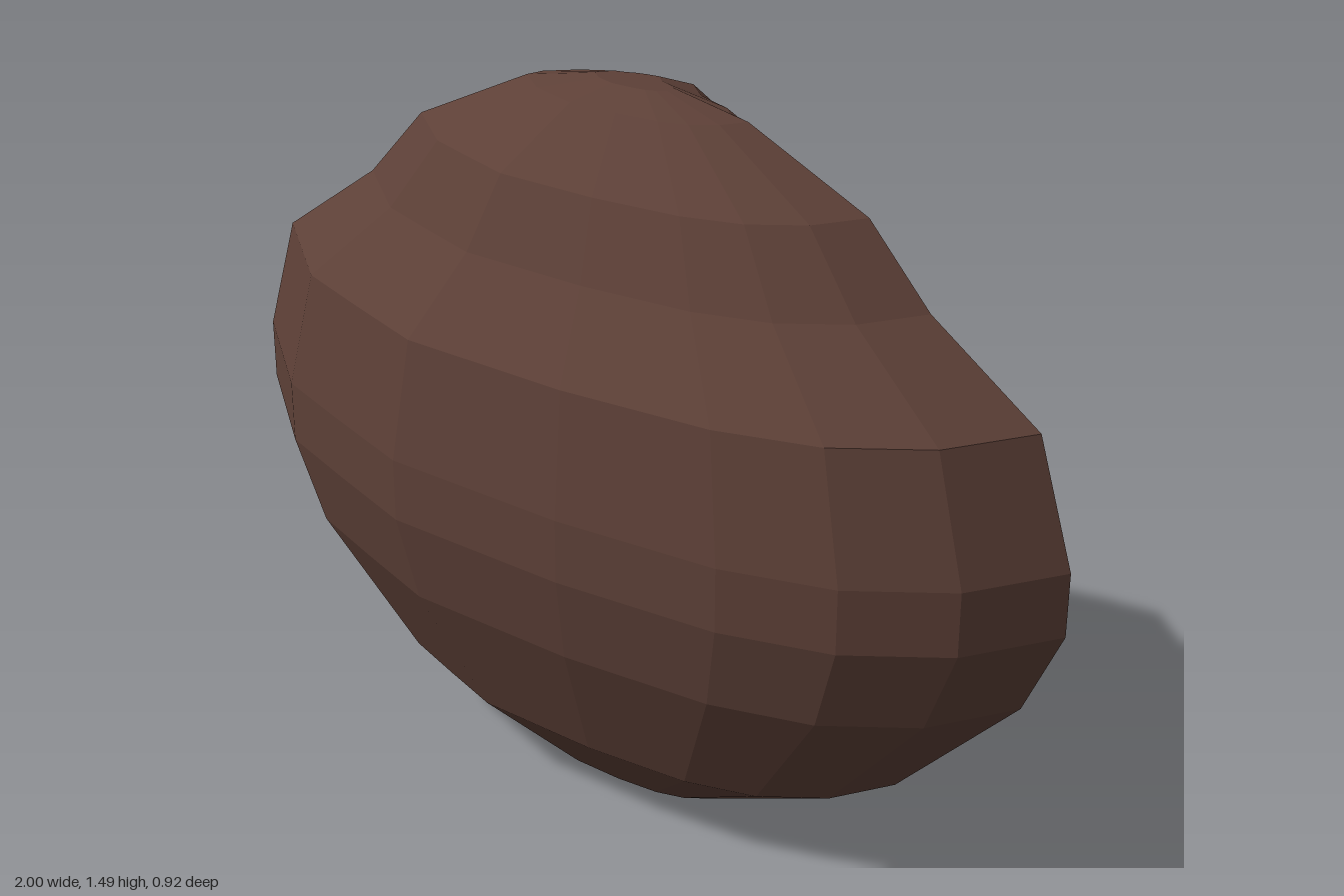
import * as THREE from 'three';

// Widest cross-section of the boulder as [x, z], running left, back, right, front
const OUTLINE = [
  [-1, 0.05], [-0.96, -0.09], [-0.76, -0.28], [-0.55, -0.32], [-0.34, -0.4],
  [-0.12, -0.44], [0.15, -0.46], [0.36, -0.26], [0.53, -0.18], [0.69, -0.11],
  [0.77, -0.02], [1, 0.08], [0.88, 0.26], [0.7, 0.38], [0.48, 0.44],
  [0.13, 0.46], [-0.29, 0.44], [-0.51, 0.36], [-0.72, 0.28],
];

// Rings from base to crown as [height, scale]; scale 0 closes the caps
const RINGS = [
  [0, 0], [0, 0.27], [0.18, 0.655], [0.455, 0.92], [0.635, 1], [0.765, 1],
  [1.015, 0.92], [1.18, 0.68], [1.33, 0.54], [1.455, 0.265], [1.485, 0.1], [1.485, 0],
];

const CENTRE_Z = 0.024; // the rings shrink towards this depth

function boulderGeometry() {
  const n = OUTLINE.length;
  const positions = [];
  const index = [];
  for (const [y, s] of RINGS) {
    for (const [x, z] of OUTLINE) positions.push(x * s, y, z * s + CENTRE_Z * (1 - s));
  }
  for (let r = 0; r < RINGS.length - 1; r++) {
    for (let i = 0; i < n; i++) {
      const j = (i + 1) % n;
      const a = r * n + i, b = r * n + j, c = a + n, d = b + n;
      if (RINGS[r][1] > 0) index.push(b, a, c);
      if (RINGS[r + 1][1] > 0) index.push(b, c, d);
      else index[index.length - 1] = c; // crown cap meets at one point
    }
  }
  const geometry = new THREE.BufferGeometry();
  geometry.setAttribute('position', new THREE.Float32BufferAttribute(positions, 3));
  geometry.setIndex(index);
  const faceted = geometry.toNonIndexed();
  faceted.computeVertexNormals();
  return faceted;
}

export function createModel() {
  const group = new THREE.Group();
  group.name = 'rock';
  const material = new THREE.MeshStandardMaterial({ color: 0x5d4037, flatShading: true });
  const boulder = new THREE.Mesh(boulderGeometry(), material);
  boulder.name = 'boulder';
  group.add(boulder);
  return group;
}
